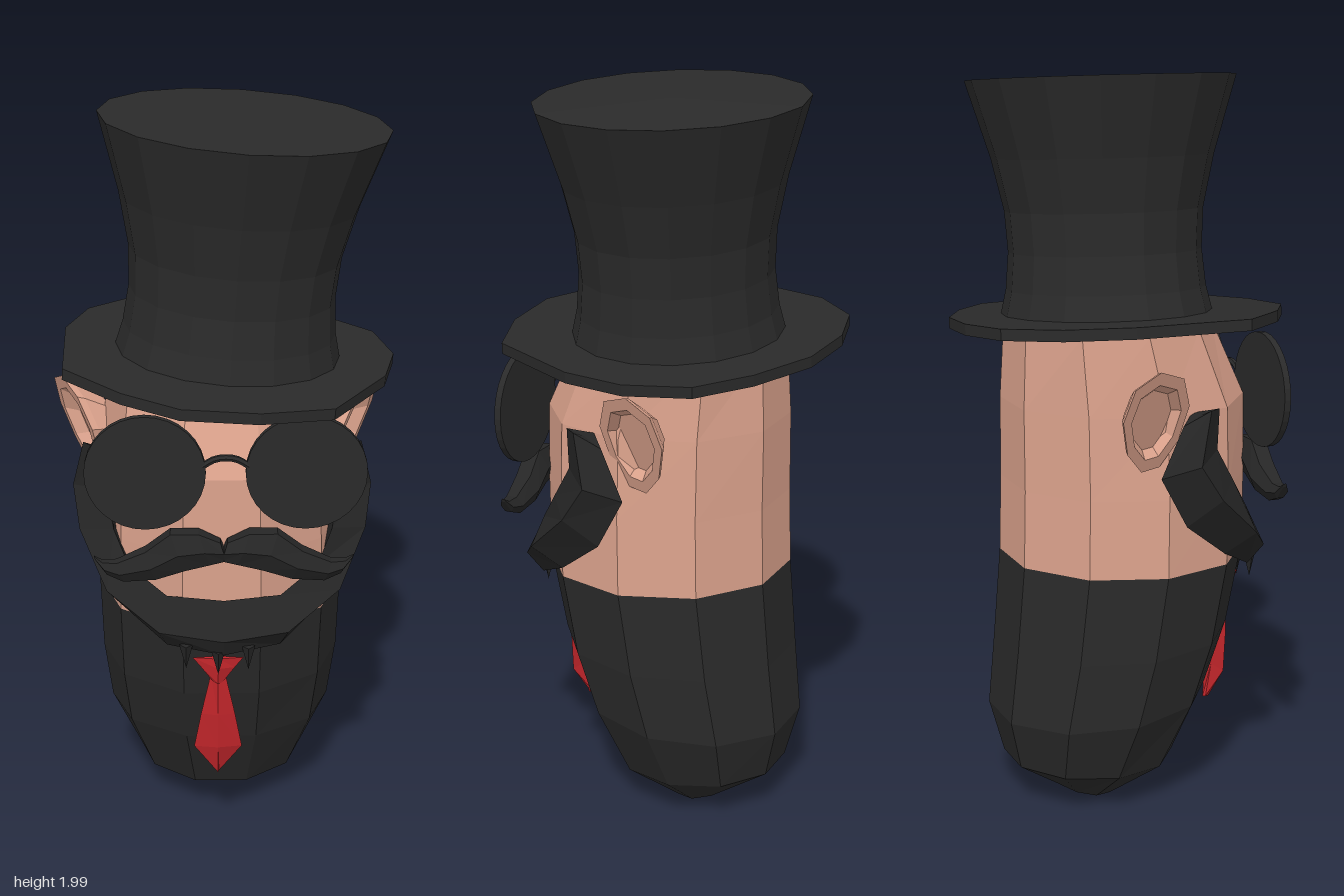
import * as THREE from 'three';

const mat = (name, color) => {
  const m = new THREE.MeshStandardMaterial({ color, flatShading: true });
  m.name = name;
  return m;
};

// Closed skin over a list of rings, with fan caps, always facing outwards.
function loft(rings) {
  const n = rings[0].length;
  const pos = rings.flat(2);
  const idx = [];
  rings.slice(1).forEach((_, r) => {
    for (let i = 0; i < n; i++) {
      const a = r * n + i, b = r * n + (i + 1) % n;
      idx.push(a, b, b + n, a, b + n, a + n);
    }
  });
  [0, rings.length - 1].forEach((r) => {
    const c = pos.length / 3;
    for (let k = 0; k < 3; k++) pos.push(rings[r].reduce((s, p) => s + p[k], 0) / n);
    for (let i = 0; i < n; i++) {
      const a = r * n + i, b = r * n + (i + 1) % n;
      if (r === 0) idx.push(c, b, a);
      else idx.push(c, a, b);
    }
  });
  // Signed volume tells whether the faces need flipping
  const v = (i) => new THREE.Vector3().fromArray(pos, i * 3);
  let volume = 0;
  for (let i = 0; i < idx.length; i += 3) volume += v(idx[i]).dot(v(idx[i + 1]).cross(v(idx[i + 2])));
  if (volume < 0) idx.reverse();
  const g = new THREE.BufferGeometry();
  g.setAttribute('position', new THREE.Float32BufferAttribute(pos, 3));
  g.setIndex(idx);
  g.computeVertexNormals();
  return g;
}

const mirrorX = (rings) => rings.map((ring) => ring.map(([x, y, z]) => [-x, y, z]));

// Ten-sided body ring given its front and back points (z, y) and half width
function bodyRing([zf, yf, zb, yb, rx]) {
  const ring = [];
  for (let i = 0; i < 10; i++) {
    const a = (i + 0.5) * Math.PI / 5;
    const t = 0.5 + 0.5 * Math.cos(a) / Math.cos(Math.PI / 10);
    ring.push([rx * Math.sin(a) - 0.005, yb + (yf - yb) * t, zb + (zf - zb) * t]);
  }
  return ring;
}

export function createModel() {
  const model = new THREE.Group();
  const black = mat('black cloth', 0x2a2a2a);
  const hair = mat('black hair', 0x262626);
  const skin = mat('skin', 0xdba28c);
  const red = mat('red silk', 0xc4262b);
  const add = (name, geometry, material, parent = model) => {
    const m = new THREE.Mesh(geometry, material);
    m.name = name;
    parent.add(m);
    return m;
  };

  // Body and head
  const collar = [0.335, 0.69, -0.305, 0.69, 0.335];
  add('body', loft([
    [-0.03, 0.005, -0.19, 0.03, 0.13],
    [0.14, 0.10, -0.31, 0.11, 0.235],
    [0.23, 0.30, -0.345, 0.25, 0.31],
    [0.29, 0.47, -0.325, 0.45, 0.33],
    collar,
  ].map(bodyRing)), black);
  add('head', loft([
    collar,
    [0.338, 0.9, -0.3, 0.9, 0.33],
    [0.335, 1.12, -0.3, 1.12, 0.32],
    [0.24, 1.33, -0.29, 1.33, 0.295],
  ].map(bodyRing)), skin);

  // Ears: narrow root, flared rim, hollow centre
  const earRing = (s, dx) => {
    const ring = [];
    for (let i = 0; i < 9; i++) {
      const a = i * Math.PI * 2 / 9 + 0.2;
      const y = Math.sin(a) * 0.14 * s;
      const z = Math.cos(a) * 0.11 * s * (1 + Math.sin(a) * 0.2);
      ring.push([0.365 + dx - z * 0.45 + y * 0.3, 1.125 + y, -0.045 + z]);
    }
    return ring;
  };
  const ear = [earRing(0.6, -0.09), earRing(0.95, -0.02), earRing(1, 0), earRing(0.75, 0), earRing(0.6, -0.035)];
  add('leftEar', loft(ear), skin);
  add('rightEar', loft(mirrorX(ear)), skin).position.x = -0.025;

  // Beard: sections of upper, outer, lower and inner points, from chin to temple
  const beard = [
    [[0, 0.78, 0.348], [0, 0.68, 0.393], [0, 0.63, 0.37], [0, 0.66, 0.3]],
    [[0.15, 0.79, 0.335], [0.17, 0.70, 0.375], [0.15, 0.645, 0.335], [0.13, 0.68, 0.28]],
    [[0.25, 0.85, 0.275], [0.31, 0.78, 0.285], [0.29, 0.725, 0.2], [0.25, 0.75, 0.2]],
    [[0.29, 0.93, 0.22], [0.385, 0.90, 0.15], [0.355, 0.83, 0.06], [0.28, 0.88, 0.1]],
    [[0.31, 1.02, 0.165], [0.403, 1.0, 0.08], [0.37, 0.97, -0.02], [0.29, 1.0, 0.05]],
    [[0.31, 1.13, 0.17], [0.37, 1.14, 0.12], [0.35, 1.10, 0.05], [0.29, 1.12, 0.1]],
  ];
  add('beard', loft([...mirrorX(beard.slice(1)).reverse(), ...beard]), hair);

  // Beard tufts under the chin
  [[-0.1, 0.625], [-0.015, 0.605], [0.065, 0.62]].forEach(([x, y]) => {
    const tuft = add('beardTuft', new THREE.ConeGeometry(0.018, 0.07, 4), hair);
    tuft.position.set(x, y, 0.365);
    tuft.rotation.x = Math.PI;
  });

  // Moustache: two curled lobes
  const lobe = [
    [0.0, 0.935, 0.36, 0.03], [0.05, 0.948, 0.368, 0.05], [0.12, 0.94, 0.368, 0.06],
    [0.19, 0.90, 0.362, 0.045], [0.27, 0.877, 0.358, 0.03], [0.31, 0.885, 0.355, 0.02], [0.335, 0.91, 0.352, 0.006],
  ].map(([x, y, z, r]) => [0, 1, 2, 3, 4, 5].map((i) => {
    const a = i * Math.PI / 3;
    return [x + Math.sin(a) * r * 0.35, y + Math.sin(a) * r, z + Math.cos(a) * Math.min(r, 0.042)];
  }));
  add('moustacheLeft', loft(lobe), hair);
  add('moustacheRight', loft(mirrorX(lobe)), hair);

  // Round dark glasses
  const glasses = new THREE.Group();
  glasses.name = 'glasses';
  model.add(glasses);
  [-0.202, 0.212].forEach((x) => {
    const lens = add('lens', new THREE.CylinderGeometry(0.156, 0.156, 0.018, 32), black, glasses);
    lens.rotation.x = Math.PI / 2;
    lens.position.set(x, 1.147, 0.345);
  });
  const arc = new THREE.CatmullRomCurve3([[-0.055, 1.165], [-0.02, 1.185], [0.03, 1.185], [0.065, 1.165]]
    .map(([x, y]) => new THREE.Vector3(x, y, 0.347)));
  add('bridge', new THREE.TubeGeometry(arc, 8, 0.009, 6), black, glasses);

  // Necktie: rows of height, half width and depth
  const tieLoft = (rows) => loft(rows.map(([y, w, z]) => [
    [-0.015 - w, y, z], [-0.015, y, z + 0.01], [-0.015 + w, y, z], [-0.015, y, z - 0.008]]));
  add('tieKnot', tieLoft([[0.605, 0.068, 0.335], [0.575, 0.045, 0.335], [0.525, 0.012, 0.327]]), red);
  add('tieBlade', tieLoft([[0.545, 0.02, 0.322], [0.42, 0.046, 0.313], [0.31, 0.065, 0.298], [0.215, 0.003, 0.272]]), red);

  // Tilted top hat
  const hat = new THREE.Group();
  hat.name = 'topHat';
  hat.position.set(0.015, 1.335, 0);
  hat.rotation.z = -0.072;
  model.add(hat);
  const brim = new THREE.Shape([
    [-0.08, -0.45], [0.11, -0.435], [0.29, -0.35], [0.425, -0.24], [0.467, -0.065], [0.43, 0.11], [0.28, 0.375],
    [0.09, 0.44], [-0.11, 0.445], [-0.26, 0.36], [-0.415, 0.21], [-0.425, -0.11], [-0.37, -0.285], [-0.25, -0.41],
  ].map(([x, z]) => new THREE.Vector2(x - 0.015, z)));
  const brimGeometry = new THREE.ExtrudeGeometry(brim, { depth: 0.03, bevelEnabled: false });
  brimGeometry.rotateX(Math.PI / 2).translate(0, 0.015, 0);
  add('brim', brimGeometry, black, hat);
  const profile = [[0, 0], [0.305, 0], [0.285, 0.08], [0.275, 0.18], [0.282, 0.29], [0.315, 0.43], [0.382, 0.637], [0, 0.639]];
  const crown = add('crown', new THREE.LatheGeometry(profile.map(([r, y]) => new THREE.Vector2(r, y)), 16), black, hat);
  crown.scale.z = 0.94;
  crown.position.z = -0.02;

  return model;
}
